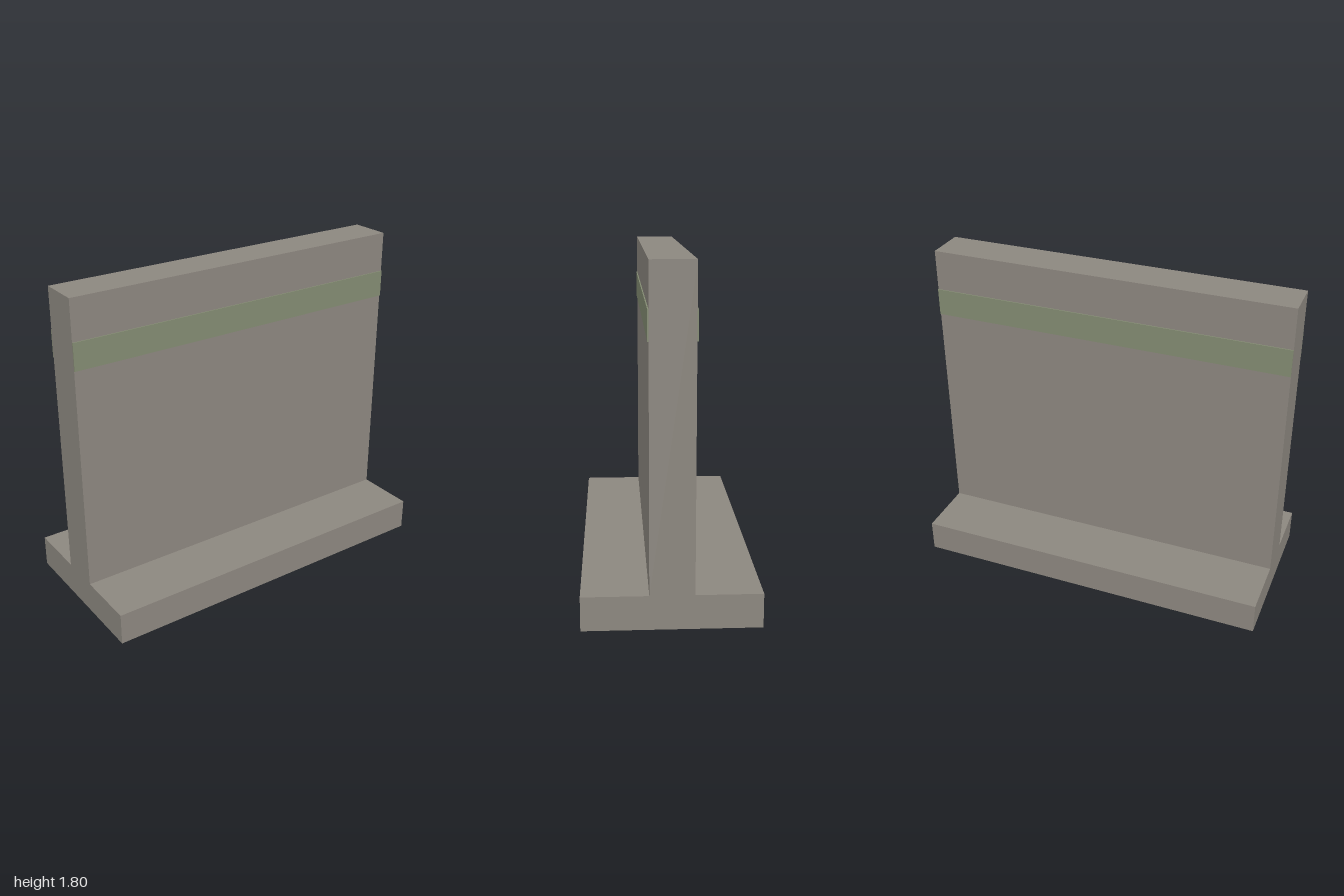
import * as THREE from 'three';

export function createModel() {
  const model = new THREE.Group();
  model.name = 'barrierWall';

  const concrete = new THREE.MeshStandardMaterial({ color: 0x8c877f, side: THREE.DoubleSide });
  concrete.name = 'concrete';
  const moss = new THREE.MeshStandardMaterial({ color: 0x838b72, side: THREE.DoubleSide });
  moss.name = 'mossGreen';

  const LENGTH = 2, HEIGHT = 1.8, FOOT_H = 0.177, FOOT_D = 0.9, WALL_D = 0.225;

  // Box standing on y with its underside left open
  function openBox(name, height, depth, y, material) {
    const geometry = new THREE.BoxGeometry(LENGTH, height, depth);
    const index = Array.from(geometry.index.array);
    index.splice(18, 6); // the downward face
    geometry.setIndex(index);
    geometry.clearGroups();
    const mesh = new THREE.Mesh(geometry, material);
    mesh.name = name;
    mesh.position.y = y + height / 2;
    model.add(mesh);
  }

  // Hollow footing and the upright slab on top of it
  openBox('footing', FOOT_H, FOOT_D, 0, concrete);
  openBox('wall', HEIGHT - FOOT_H, WALL_D, FOOT_H, concrete);

  // Thin raised stripe along each face of the wall
  const STRIPE_T = 0.006;
  for (const side of [1, -1]) {
    const stripe = new THREE.Mesh(new THREE.BoxGeometry(LENGTH, 0.15, STRIPE_T), moss);
    stripe.name = side > 0 ? 'frontStripe' : 'backStripe';
    stripe.position.set(0, 1.5, side * (WALL_D + STRIPE_T) / 2);
    model.add(stripe);
  }

  return model;
}
